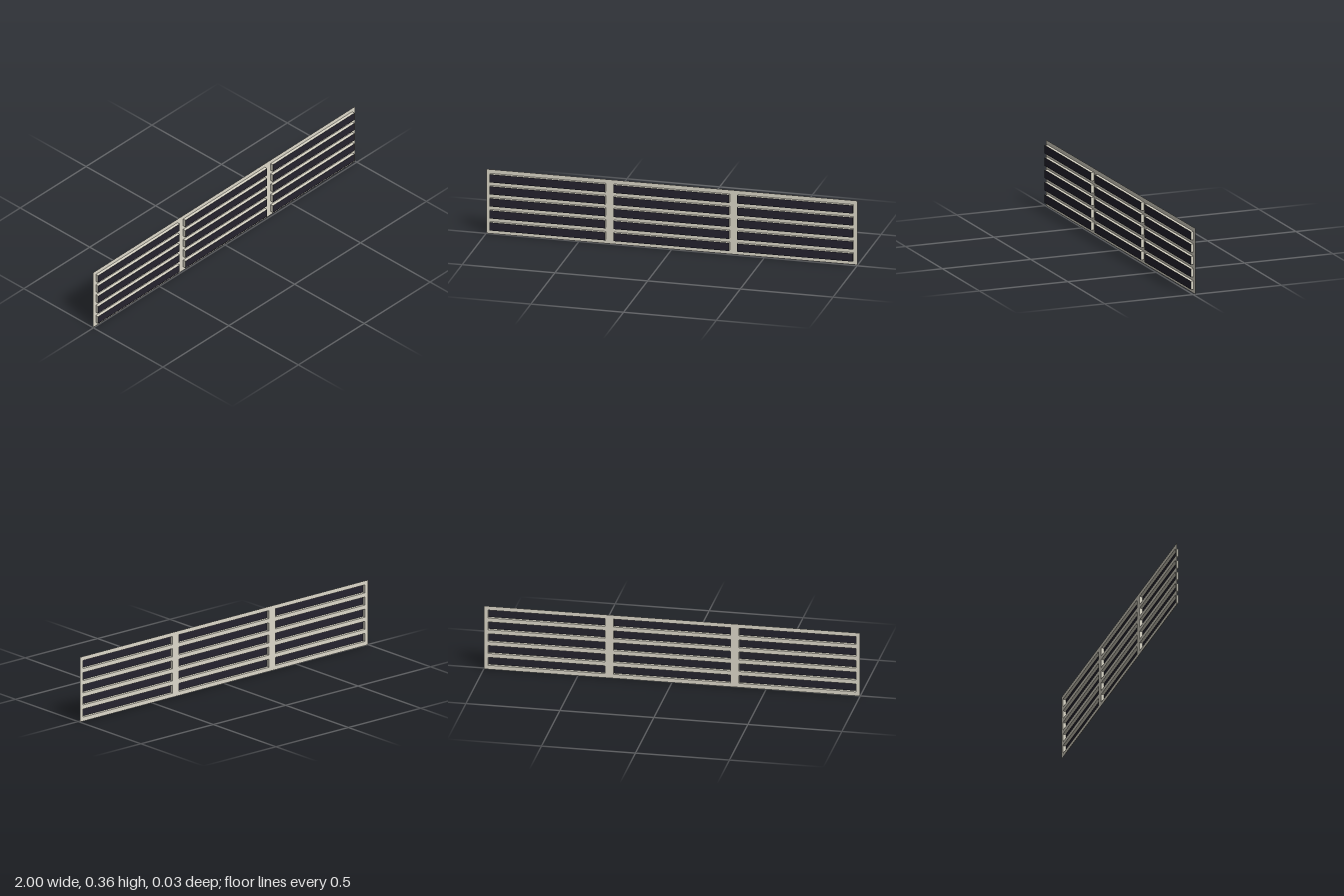
import * as THREE from 'three';

export function createModel() {
  const U = 1 / 45;              // grid unit: the grille is 90 x 16 units
  const W = 90 * U, H = 16 * U;
  const slotW = 28 * U, slotH = 2 * U, depth = 0.0164;
  const backZ = -0.0082, frontZ = backZ + depth;

  const paint = new THREE.MeshStandardMaterial({ color: 0xdedacb, side: THREE.DoubleSide });
  const dark = new THREE.MeshStandardMaterial({ color: 0x25232e, side: THREE.DoubleSide });

  const model = new THREE.Group();
  model.name = 'ventGrille';
  const add = (name, geometry, material, parent) => {
    const mesh = new THREE.Mesh(geometry, material);
    mesh.name = name;
    parent.add(mesh);
    return mesh;
  };

  // Slot centres: three columns of five
  const slots = [];
  for (let c = -1; c <= 1; c++)
    for (let r = 0; r < 5; r++) slots.push([c * 30 * U, (2 + r * 3) * U]);

  // Thin frame sheet pierced by the slots
  const rect = (path, x, y, w, h) => path
    .moveTo(x - w / 2, y - h / 2).lineTo(x + w / 2, y - h / 2)
    .lineTo(x + w / 2, y + h / 2).lineTo(x - w / 2, y + h / 2).closePath();
  const outline = rect(new THREE.Shape(), 0, H / 2, W, H);
  for (const [x, y] of slots) outline.holes.push(rect(new THREE.Path(), x, y, slotW, slotH));
  add('frame', new THREE.ShapeGeometry(outline), paint, model).position.z = backZ;

  // Each slot: four thin walls standing forward, closed by a dark panel
  const longWall = new THREE.PlaneGeometry(slotW, depth).rotateX(-Math.PI / 2);
  const endWall = new THREE.PlaneGeometry(depth, slotH).rotateY(Math.PI / 2);
  const panel = new THREE.PlaneGeometry(slotW, slotH);
  for (const [x, y] of slots) {
    const slot = new THREE.Group();
    slot.name = 'slot';
    slot.position.set(x, y, 0);
    add('slotPanel', panel, dark, slot).position.z = frontZ;
    for (const s of [-1, 1]) {
      // turn the lower and -x walls over so every wall faces outward
      const long = add('slotLongWall', longWall, paint, slot);
      long.position.y = s * slotH / 2;
      if (s < 0) long.rotation.x = Math.PI;
      const end = add('slotEndWall', endWall, paint, slot);
      end.position.x = s * slotW / 2;
      if (s < 0) end.rotation.y = Math.PI;
    }
    model.add(slot);
  }

  // The grille sits very slightly turned
  model.rotation.y = 0.0047;
  const root = new THREE.Group();
  root.name = 'ventGrilleRoot';
  root.add(model);
  return root;
}
